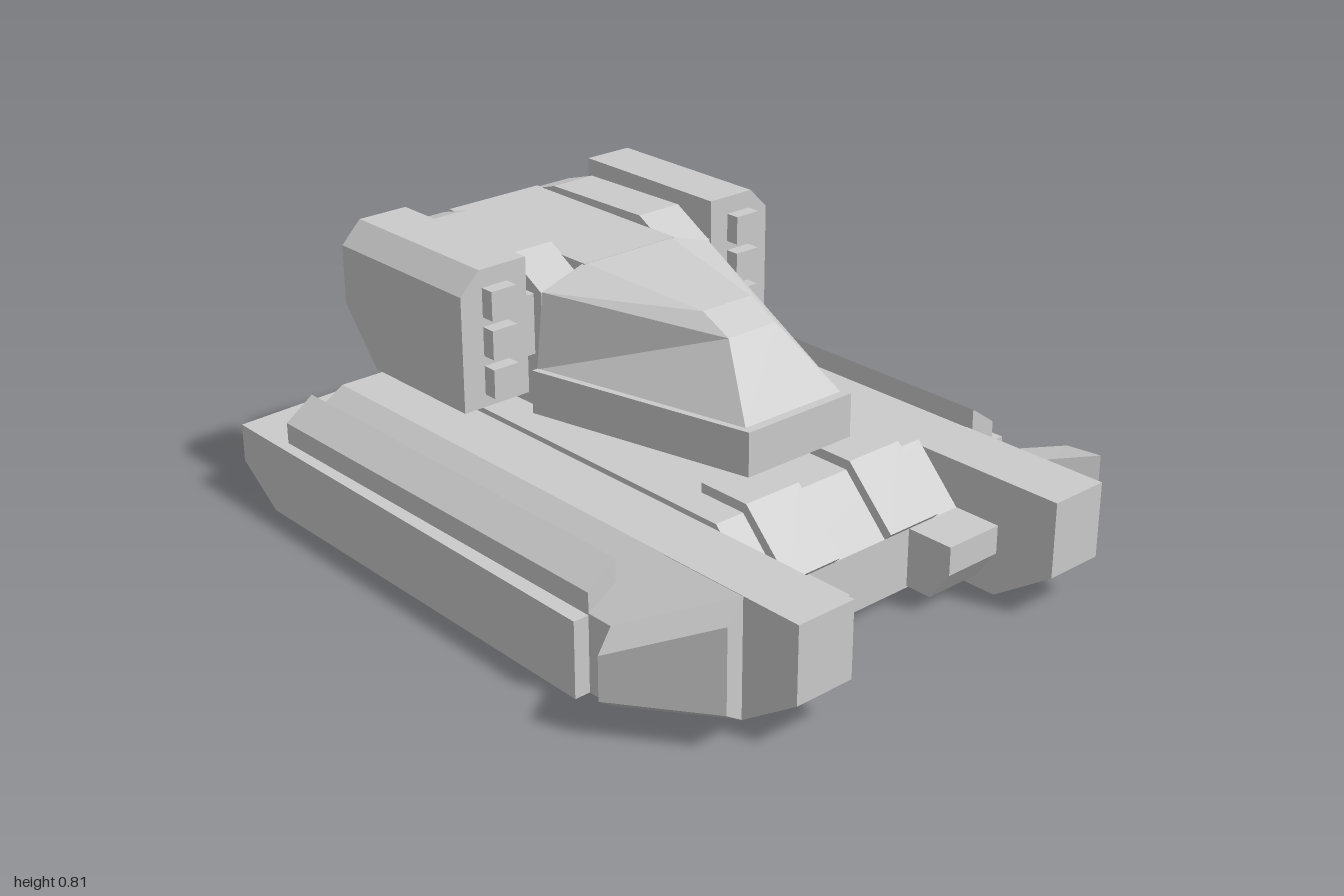
import * as THREE from 'three';

const material = new THREE.MeshStandardMaterial({ color: 0xcccccc, flatShading: true });

// Solid skinned through rings of [x, y, z] points, turned outward by its signed volume.
function loft(rings) {
  const tris = [];
  const quad = (a, b, c, d) => tris.push([a, b, c], [a, c, d]);
  const n = rings[0].length;
  for (let r = 0; r + 1 < rings.length; r++) {
    for (let i = 0; i < n; i++) {
      const j = (i + 1) % n;
      quad(rings[r][i], rings[r][j], rings[r + 1][j], rings[r + 1][i]);
    }
  }
  // caps are strips across the ring
  const cap = (p, flip) => {
    for (let i = 0; i < n - 2 - i; i++) {
      const q = [p[i], p[i + 1], p[n - 2 - i], p[n - 1 - i]];
      if (i + 1 === n - 2 - i) q.splice(2, 1);
      if (flip) q.reverse();
      if (q.length === 4) quad(...q);
      else tris.push(q);
    }
  };
  cap(rings[0], true);
  cap(rings[rings.length - 1], false);
  let volume = 0;
  const o = new THREE.Vector3(...rings[0][0]);
  for (const t of tris) {
    const [a, b, c] = t.map((p) => new THREE.Vector3(...p).sub(o));
    volume += a.dot(b.cross(c));
  }
  if (volume < 0) tris.forEach((t) => t.reverse());
  const geometry = new THREE.BufferGeometry();
  geometry.setAttribute('position', new THREE.Float32BufferAttribute(tris.flat(2), 3));
  geometry.computeVertexNormals();
  return geometry;
}

// Side profile of [z, y] points, extruded between two x values.
function slab(profile, xa, xb) {
  const shape = new THREE.Shape(profile.map(([z, y]) => new THREE.Vector2(z, y)));
  const geometry = new THREE.ExtrudeGeometry(shape, { depth: Math.abs(xb - xa), bevelEnabled: false });
  return geometry.rotateY(-Math.PI / 2).translate(Math.max(xa, xb), 0, 0);
}

const box = (xa, xb, y0, y1, z0, z1) => slab([[z0, y0], [z1, y0], [z1, y1], [z0, y1]], xa, xb);

function add(parent, name, geometry) {
  const mesh = new THREE.Mesh(geometry, material);
  mesh.name = name;
  parent.add(mesh);
}

function buildTrack(s) {
  const track = new THREE.Group();
  track.name = s > 0 ? 'leftTrack' : 'rightTrack';
  const skin = (rings) => loft(rings.map((ring) => ring.map(([x, y, z]) => [s * x, y, z])));
  const section = (pts, z) => pts.map(([x, y]) => [x, y, z]);

  // lower pod with its rear undercut
  add(track, 'trackPod', skin([
    [[0.37, 0.1, -1], [0.37, 0.21, -1], [0.75, 0.21, -0.98], [0.75, 0.1, -0.98]],
    [[0.36, 0, -0.83], [0.36, 0.21, -0.83], [0.752, 0.21, -0.83], [0.752, 0, -0.83]],
    [[0.36, 0, 0.49], [0.36, 0.21, 0.49], [0.765, 0.21, 0.49], [0.765, 0, 0.49]],
  ]));

  // upper fender, sloping outward
  const fender = [[0.36, 0.15], [0.36, 0.33], [0.535, 0.33], [0.72, 0.215], [0.72, 0.15]];
  add(track, 'fender', skin([section(fender, -0.79), section(fender, 0.57)]));
  add(track, 'fenderFoot', box(s * 0.36, s * 0.72, 0, 0.18, 0.45, 0.57));

  // side rail
  const rail = [[0.635, 0.2], [0.635, 0.33], [0.72, 0.27], [0.72, 0.2]];
  add(track, 'sideRail', skin([section(rail, -0.79), section(rail, 0.49)]));

  // blunt nose and flared front guard
  add(track, 'nose', slab([[0.55, 0], [0.82, 0], [1, 0.12], [1, 0.33], [0.55, 0.33]], s * 0.36, s * 0.537));
  add(track, 'frontGuard', skin([
    [[0.835, 0.1, 0.66], [0.72, 0, 0.57], [0.535, 0, 0.57], [0.535, 0, 0.82], [0.66, 0.1, 0.9]],
    [[0.835, 0.22, 0.66], [0.72, 0.215, 0.57], [0.535, 0.33, 0.57], [0.535, 0.33, 0.82], [0.66, 0.33, 0.9]],
  ]));
  return track;
}

function buildHull() {
  const hull = new THREE.Group();
  hull.name = 'hull';
  add(hull, 'hullBody', slab(
    [[-0.69, 0.03], [0.68, 0.03], [0.68, 0.2], [0.54, 0.345], [-0.69, 0.345]], -0.36, 0.36));
  for (const s of [-1, 1]) {
    add(hull, 'frontBumper', slab(
      [[0.6, 0.035], [0.76, 0.035], [0.82, 0.12], [0.82, 0.2], [0.6, 0.2]], s * 0.18, s * 0.36));
    add(hull, 'glacisPlate', slab(
      [[0.39, 0.33], [0.39, 0.372], [0.55, 0.372], [0.7, 0.22], [0.68, 0.2], [0.6, 0.2]], s * 0.09, s * 0.27));
    add(hull, 'rearRib', box(s * 0.09, s * 0.27, 0.03, 0.33, -0.75, -0.65));
  }
  return hull;
}

function buildLauncher(s) {
  const launcher = new THREE.Group();
  launcher.name = s > 0 ? 'leftLauncher' : 'rightLauncher';
  // casing with chamfered outer edge and raked rear underside
  const ring = (z, bottom) => [[0.325, bottom], [0.325, 0.81], [0.475, 0.81], [0.535, 0.75], [0.535, bottom]]
    .map(([x, y]) => [s * x, y, z]);
  add(launcher, 'launcherCasing', loft([ring(-0.225, 0.43), ring(-0.62, 0.43), ring(-0.75, 0.585)]));
  for (const y of [0.505, 0.613, 0.72]) {
    add(launcher, 'missileTip', box(s * 0.387, s * 0.467, y - 0.04, y + 0.04, -0.24, -0.185));
  }
  add(launcher, 'launcherMount', box(s * 0.28, s * 0.335, 0.53, 0.7, -0.645, -0.23));
  return launcher;
}

function buildTurret() {
  const turret = new THREE.Group();
  turret.name = 'turret';
  add(turret, 'turretRing', box(-0.2, 0.2, 0.34, 0.39, -0.3, 0.08));

  // tapered base collar
  const collar = (y) => [[-0.18, y, 0.46], [0.18, y, 0.46], [0.333, y, -0.2], [-0.333, y, -0.2]];
  add(turret, 'turretCollar', loft([collar(0.38), collar(0.502)]));

  // faceted wedge cabin
  const mirrored = (half) => [...half, ...half.map(([x, y, z]) => [-x, y, z]).reverse()];
  add(turret, 'turretWedge', loft([
    mirrored([[0.168, 0.5, 0.435], [0.082, 0.67, 0.28], [0.082, 0.715, 0.185]]),
    mirrored([[0.315, 0.5, -0.2], [0.293, 0.71, -0.2], [0.15, 0.757, -0.2]]),
  ]));

  // rear body and shoulder humps
  add(turret, 'turretRear', slab(
    [[-0.55, 0.38], [-0.19, 0.38], [-0.19, 0.757], [-0.78, 0.757], [-0.78, 0.6], [-0.74, 0.57]], -0.157, 0.157));
  for (const s of [-1, 1]) {
    add(turret, 'shoulderHump', slab(
      [[-0.55, 0.38], [-0.2, 0.38], [-0.2, 0.71], [-0.33, 0.782], [-0.7, 0.775], [-0.81, 0.74],
        [-0.845, 0.605], [-0.75, 0.605]], s * 0.155, s * 0.297));
    turret.add(buildLauncher(s));
  }
  turret.position.x = 0.004;
  return turret;
}

export function createModel() {
  const model = new THREE.Group();
  model.name = 'tank';
  model.add(buildHull(), buildTrack(1), buildTrack(-1), buildTurret());
  return model;
}
